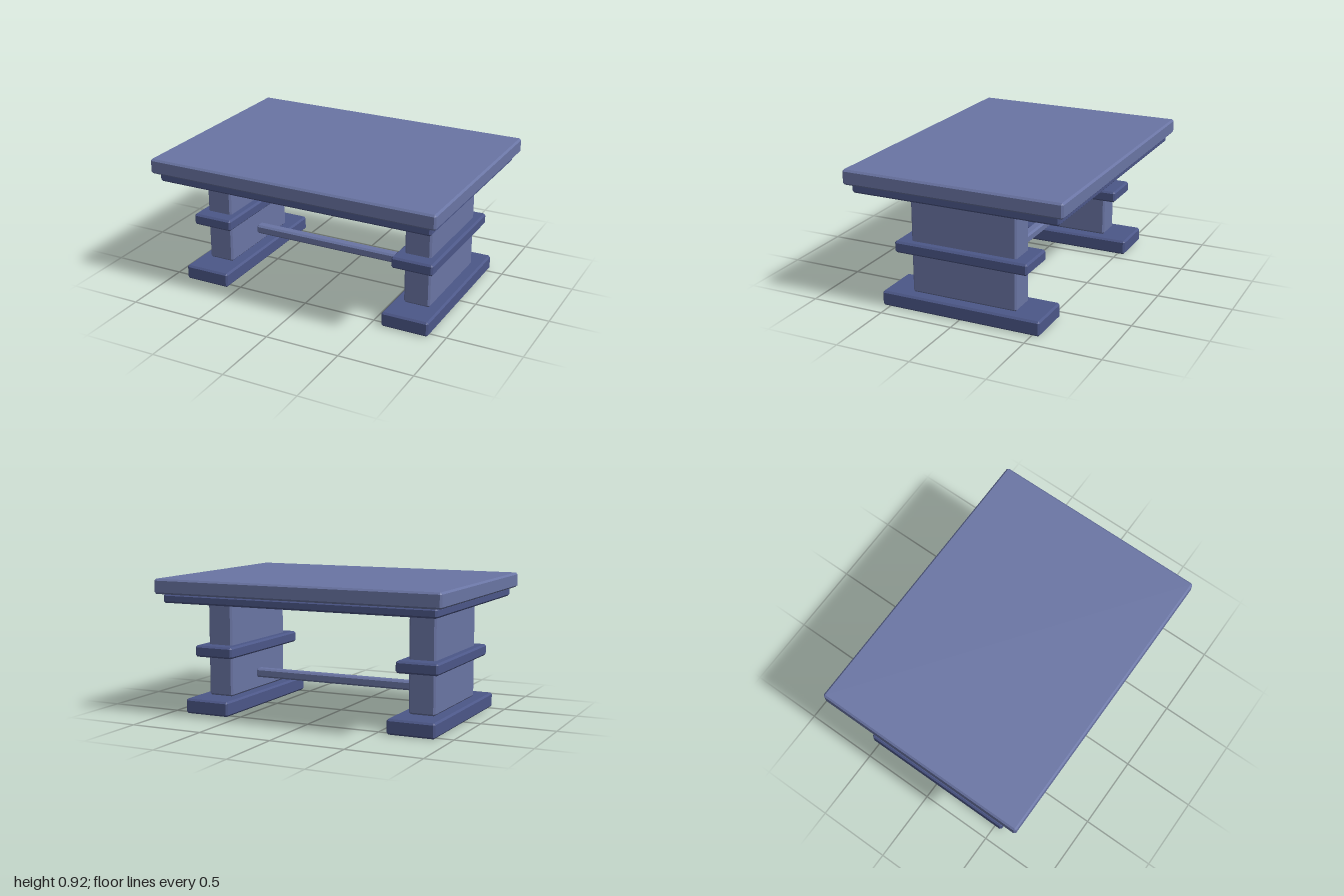
import * as THREE from 'three';
import { ConvexGeometry } from 'three/addons/geometries/ConvexGeometry.js';

const light = new THREE.MeshStandardMaterial({ color: 0x6a75a4 });
const dark = new THREE.MeshStandardMaterial({ color: 0x4c5788 });

// Box with flat chamfers along every edge and corner
function chamferedBox(w, h, d, c = 0.012) {
  const points = [];
  for (const x of [-1, 1]) for (const y of [-1, 1]) for (const z of [-1, 1]) {
    const [X, Y, Z] = [w / 2, h / 2, d / 2];
    points.push(
      new THREE.Vector3(x * X, y * (Y - c), z * (Z - c)),
      new THREE.Vector3(x * (X - c), y * Y, z * (Z - c)),
      new THREE.Vector3(x * (X - c), y * (Y - c), z * Z));
  }
  return new ConvexGeometry(points);
}

// Slab given by its width, depth, bottom and top heights
function slab(name, material, width, depth, bottom, top) {
  const mesh = new THREE.Mesh(chamferedBox(width, top - bottom, depth), material);
  mesh.name = name;
  mesh.position.y = (bottom + top) / 2;
  return mesh;
}

export function createModel() {
  const table = new THREE.Group();
  table.name = 'trestleTable';

  // Top and the recessed layer beneath it
  table.add(slab('tableTop', light, 2, 1.486, 0.82, 0.92));
  table.add(slab('apron', dark, 1.914, 1.406, 0.76, 0.82));

  // Two trestles: foot, upright panel and collar
  for (const side of [-1, 1]) {
    const trestle = new THREE.Group();
    trestle.name = side > 0 ? 'leftTrestle' : 'rightTrestle';
    trestle.position.x = side * 0.733;
    trestle.add(slab('foot', dark, 0.322, 1.104, 0, 0.1));
    trestle.add(slab('upright', light, 0.18, 0.73, 0.1, 0.76));
    trestle.add(slab('collar', dark, 0.284, 0.92, 0.373, 0.45));
    table.add(trestle);
  }

  // Bar joining the uprights
  table.add(slab('stretcher', light, 1.3, 0.07, 0.182, 0.244));
  return table;
}
